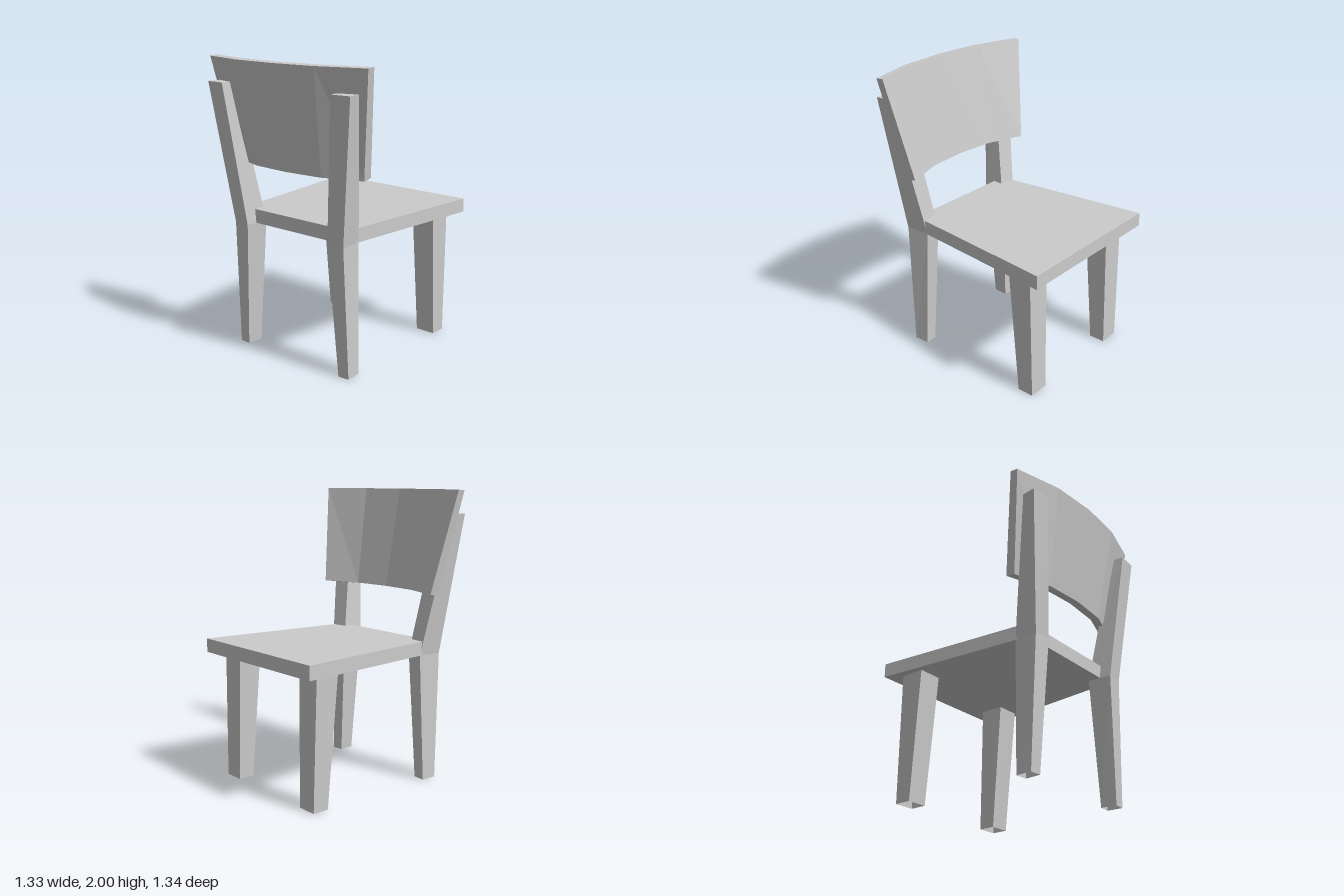
import * as THREE from 'three';

const material = new THREE.MeshStandardMaterial({ color: 0xcccccc, flatShading: true, side: THREE.DoubleSide });

// Skin a series of four-cornered rings; the first end can be left open.
function loft(name, rings, capStart = true) {
  const pos = [];
  const quad = (a, b, c, d) => [a, b, c, a, c, d].forEach((p) => pos.push(...p));
  for (let i = 0; i < rings.length - 1; i++) {
    for (let j = 0; j < 4; j++) {
      const k = (j + 1) % 4;
      quad(rings[i][j], rings[i][k], rings[i + 1][k], rings[i + 1][j]);
    }
  }
  if (capStart) quad(...[...rings[0]].reverse());
  quad(...rings[rings.length - 1]);
  const geometry = new THREE.BufferGeometry();
  geometry.setAttribute('position', new THREE.Float32BufferAttribute(pos, 3));
  geometry.computeVertexNormals();
  const mesh = new THREE.Mesh(geometry, material);
  mesh.name = name;
  return mesh;
}

// Horizontal ring at height y from [x, z] corners.
const level = (y, corners) => corners.map(([x, z]) => [x, y, z]);
// Mirror a ring across x, keeping its winding.
const mirror = (ring) => ring.map(([x, y, z]) => [-x, y, z]).reverse();

export function createModel() {
  const chair = new THREE.Group();
  chair.name = 'chair';

  // Tapered seat slab
  const seat = [[-0.455, 0.475], [0.455, 0.475], [0.575, -0.67], [-0.575, -0.67]];
  chair.add(loft('seat', [level(0.885, seat), level(0.98, seat)]));

  // Front legs, tapering to the floor
  const frontLeg = [
    level(0, [[0.345, -0.46], [0.488, -0.46], [0.488, -0.575], [0.345, -0.575]]),
    level(0.89, [[0.335, -0.39], [0.505, -0.39], [0.505, -0.56], [0.335, -0.56]]),
  ];

  // Rear legs, bending at the seat and rising into back posts
  const rearLeg = [
    level(0, [[0.41, 0.515], [0.49, 0.51], [0.485, 0.4], [0.4, 0.405]]),
    level(0.885, [[0.353, 0.553], [0.475, 0.545], [0.46, 0.375], [0.343, 0.385]]),
    level(1.84, [[0.46, 0.645], [0.6, 0.635], [0.59, 0.54], [0.45, 0.55]]),
  ];

  for (const [name, rings] of [['FrontLeg', frontLeg], ['RearLeg', rearLeg]]) {
    chair.add(loft('left' + name, rings, false));
    chair.add(loft('right' + name, rings.map(mirror), false));
  }

  // Curved, leaning backrest in four facets: [top x, bottom x, top z, bottom z]
  const sections = [
    [-0.665, -0.55, 0.497, 0.372],
    [-0.33, -0.28, 0.587, 0.462],
    [0, 0, 0.61, 0.483],
    [0.33, 0.28, 0.587, 0.462],
    [0.665, 0.55, 0.497, 0.372],
  ];
  const thickness = 0.055;
  chair.add(loft('backrest', sections.map(([tx, bx, tz, bz]) => [
    [bx, 1.31, bz],
    [tx, 2, tz],
    [tx, 1.995, tz + thickness],
    [bx, 1.3, bz + thickness + 0.01],
  ])));

  return chair;
}
